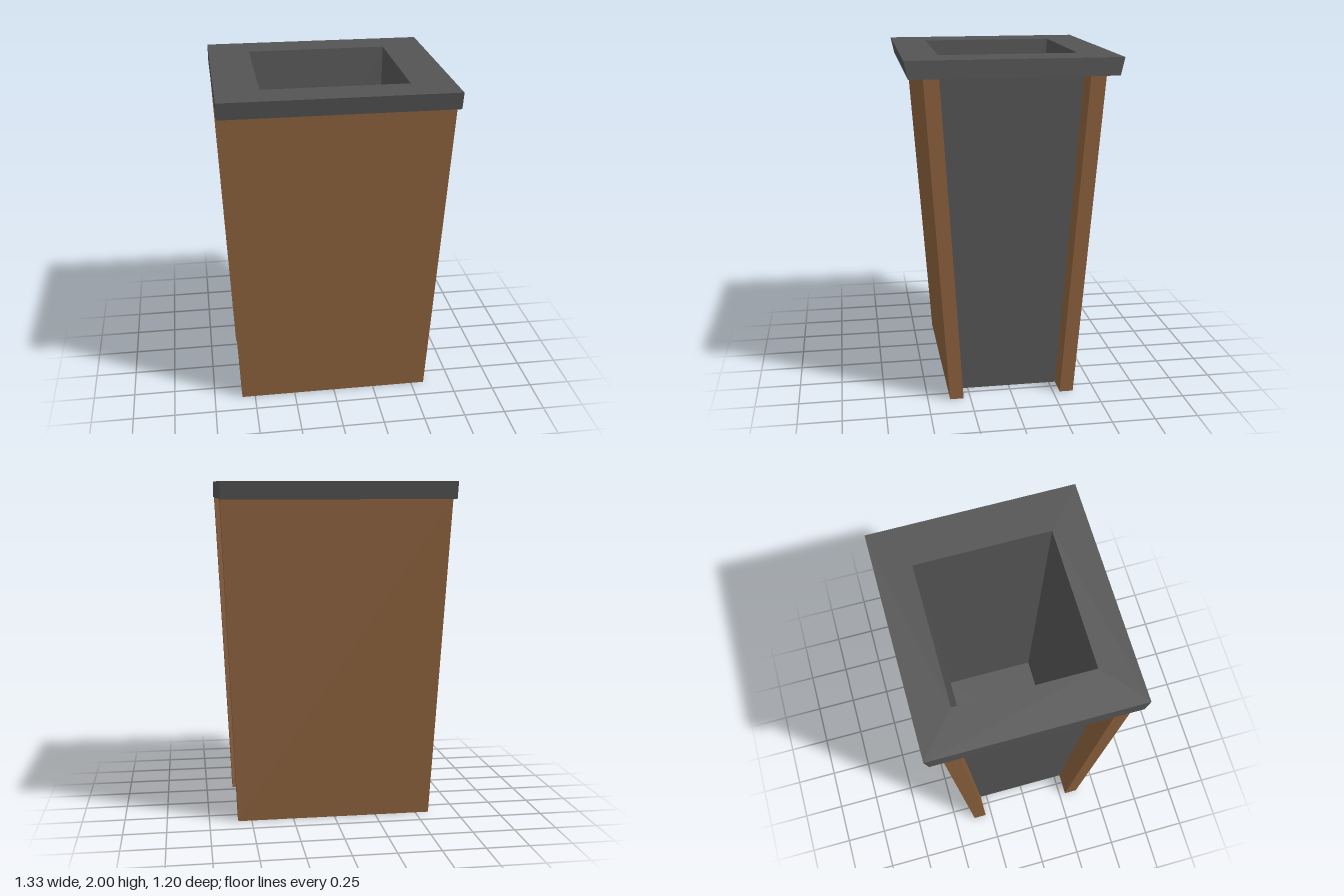
import * as THREE from 'three';

// Joins rectangular rings [y, halfWidth, zBack, zFront] with flat walls; caps are optional.
function loft(rings, capStart = false, capEnd = false) {
  const corners = rings.map(([y, w, zb, zf]) => [[-w, y, zf], [w, y, zf], [w, y, zb], [-w, y, zb]]);
  const pos = [];
  const quad = (a, b, c, d) => pos.push(...a, ...b, ...c, ...a, ...c, ...d);
  for (let r = 0; r < corners.length - 1; r++) {
    const lo = corners[r], hi = corners[r + 1];
    for (let i = 0; i < 4; i++) {
      const j = (i + 1) % 4;
      quad(lo[i], lo[j], hi[j], hi[i]);
    }
  }
  if (capStart) quad(...[...corners[0]].reverse());
  if (capEnd) quad(...corners[corners.length - 1]);
  const geometry = new THREE.BufferGeometry();
  geometry.setAttribute('position', new THREE.Float32BufferAttribute(pos, 3));
  geometry.computeVertexNormals();
  return geometry;
}

// Ring centred on z = 0.
const ring = (y, w, d) => [y, w, -d, d];

export function createModel() {
  const grey = new THREE.MeshStandardMaterial({ color: 0x545454 });
  grey.name = 'dark grey';
  const wood = new THREE.MeshStandardMaterial({ color: 0x8a5f3c });
  wood.name = 'wood brown';
  const shade = new THREE.MeshStandardMaterial({ color: 0x362d21 });
  shade.name = 'base dark brown';

  const group = new THREE.Group();
  group.name = 'planterBin';
  const add = (name, geometry, material) => {
    const mesh = new THREE.Mesh(geometry, material);
    mesh.name = name;
    group.add(mesh);
  };

  const baseRing = ring(0, 0.445, 0.29);
  const neckRing = ring(1.9, 0.51, 0.413);
  const holeRing = ring(2, 0.417, 0.393);
  const floorRing = ring(0.2, 0.368, 0.289);

  // Tapered body between the panels, with its underside
  add('body', loft([baseRing, neckRing]), grey);
  add('underside', loft([baseRing], true), shade);

  // Overhanging rim with flared front and back edges
  add('rim', loft([neckRing, ring(1.9, 0.664, 0.578), ring(2, 0.664, 0.6), holeRing]), grey);

  // Hollow inside
  add('innerWalls', loft([holeRing, floorRing]), grey);
  add('innerFloor', loft([floorRing], false, true), grey);

  // Leaning wooden panels, front and back
  add('frontPanel', loft([[0, 0.58, 0.29, 0.37], [1.9, 0.662, 0.413, 0.5]], true, true), wood);
  add('backPanel', loft([[0, 0.58, -0.37, -0.29], [1.9, 0.662, -0.5, -0.413]], true, true), wood);

  return group;
}
